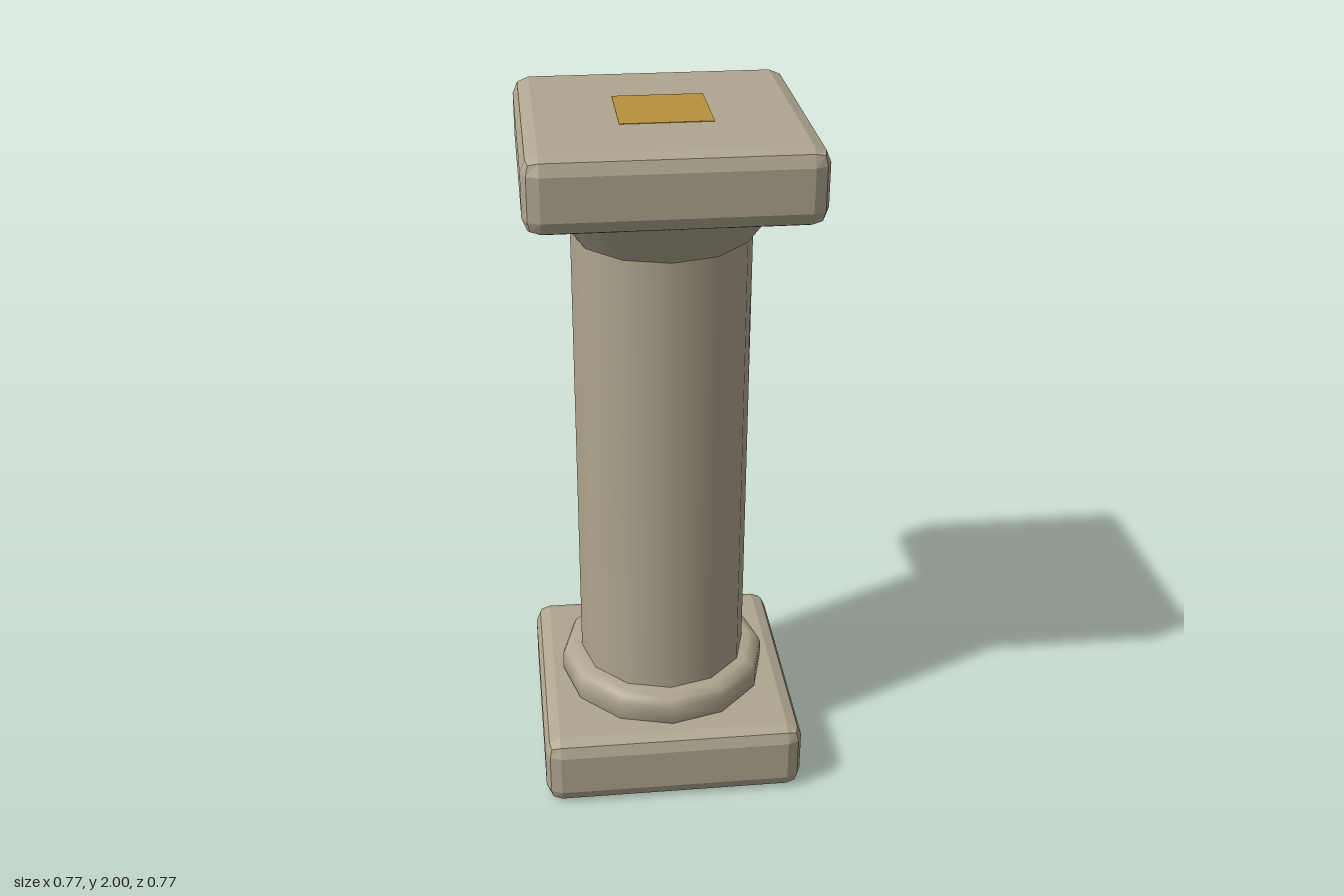
import * as THREE from 'three';
import { toCreasedNormals } from 'three/addons/utils/BufferGeometryUtils.js';
import { RoundedBoxGeometry } from 'three/addons/geometries/RoundedBoxGeometry.js';

const SIDES = 12;

export function createModel() {
  const model = new THREE.Group();
  model.name = 'column';

  const stone = new THREE.MeshStandardMaterial({ color: 0xb0a690 });
  stone.name = 'stone';
  const gold = new THREE.MeshStandardMaterial({ color: 0xb8923c });
  gold.name = 'gold';

  const add = (name, geometry, material, y) => {
    const mesh = new THREE.Mesh(geometry, material);
    mesh.name = name;
    mesh.position.y = y;
    model.add(mesh);
  };

  // Square slab with faceted, two-step bevels
  const slab = (height) => {
    const geometry = new RoundedBoxGeometry(0.766, height, 0.766, 1, 0.045);
    geometry.computeVertexNormals();
    return geometry;
  };

  // Base slab and top slab
  add('plinth', slab(0.216), stone, 0.108);
  add('topSlab', slab(0.207), stone, 1.8955);

  // Rounded ring around the foot of the shaft
  const ringProfile = [
    [0.3, 0.205], [0.31, 0.225], [0.31, 0.275], [0.3, 0.297], [0.275, 0.308], [0.24, 0.308],
  ].map(([r, y]) => new THREE.Vector2(r, y));
  add('baseRing', toCreasedNormals(new THREE.LatheGeometry(ringProfile, SIDES), 0.9), stone, 0);

  // Straight shaft
  add('shaft', new THREE.CylinderGeometry(0.25, 0.25, 1.467, SIDES, 1, true), stone, 0.9335);

  // Flared capital under the top slab
  add('capital', new THREE.CylinderGeometry(0.342, 0.25, 0.128, SIDES), stone, 1.731);

  // Inlaid square on the top face
  const inlay = new THREE.BoxGeometry(0.246, 0.004, 0.246);
  add('topInlay', inlay, gold, 1.9985);

  return model;
}
